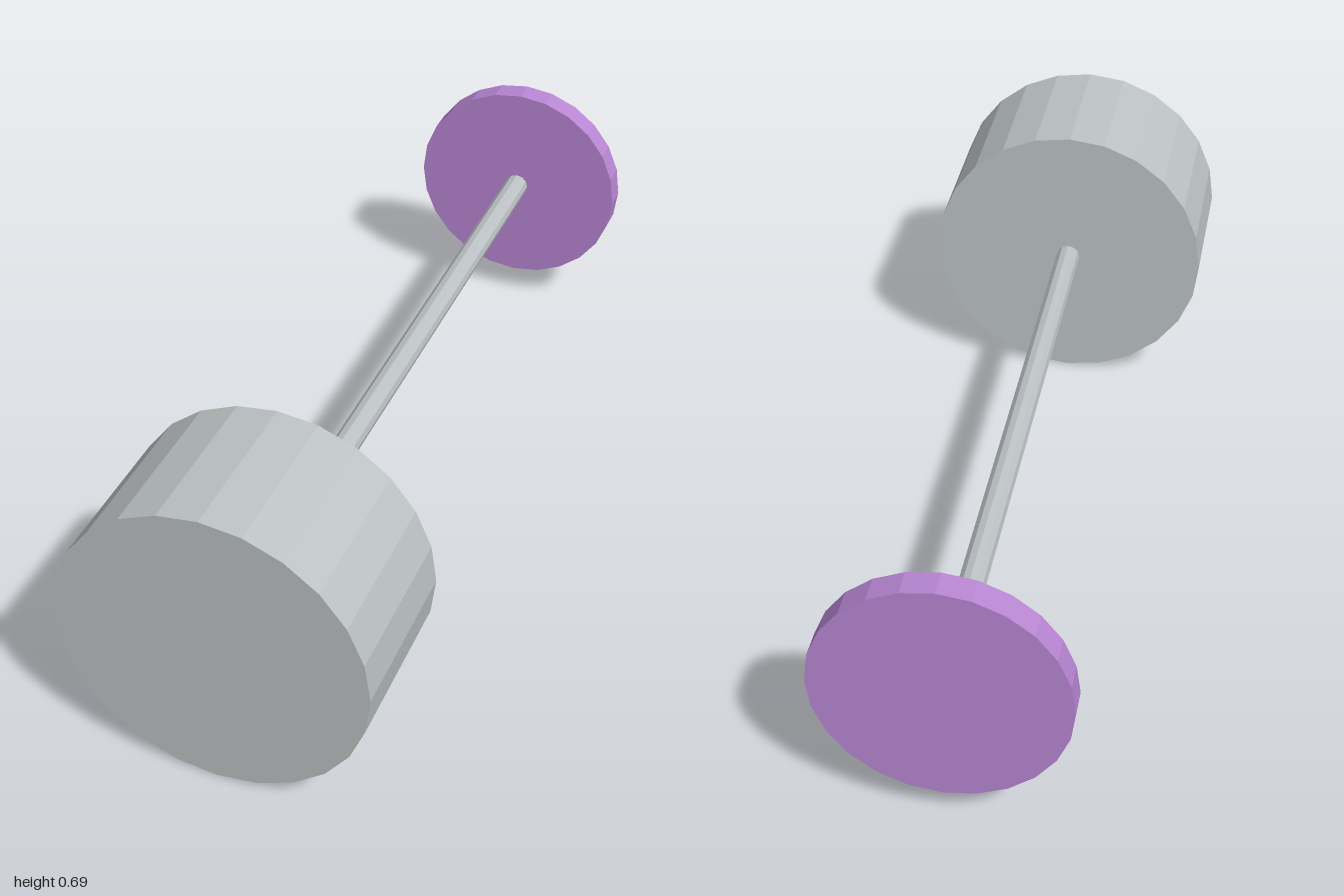
import * as THREE from 'three';

const AXIS_Y = 0.344;

// Faceted cylinder lying along z, from zBack to zFront
function zCylinder(name, radius, zBack, zFront, sides, material) {
  const geometry = new THREE.CylinderGeometry(radius, radius, zFront - zBack, sides);
  geometry.rotateX(Math.PI / 2);
  const mesh = new THREE.Mesh(geometry.toNonIndexed(), material);
  mesh.geometry.computeVertexNormals();
  mesh.name = name;
  mesh.position.set(0, AXIS_Y, (zBack + zFront) / 2);
  return mesh;
}

export function createModel() {
  const steel = new THREE.MeshStandardMaterial({ color: 0xbdc3c5 });
  steel.name = 'pale steel';
  const purple = new THREE.MeshStandardMaterial({ color: 0xb987d4 });
  purple.name = 'soft purple';

  const model = new THREE.Group();
  model.name = 'plunger';
  model.add(
    zCylinder('head', 0.344, 0.635, 1, 24, steel), // heavy front drum
    zCylinder('rod', 0.03, -0.94, 0.635, 12, steel), // thin connecting shaft
    zCylinder('endDisc', 0.27, -1, -0.94, 24, purple), // flat disc at the back
  );
  return model;
}
